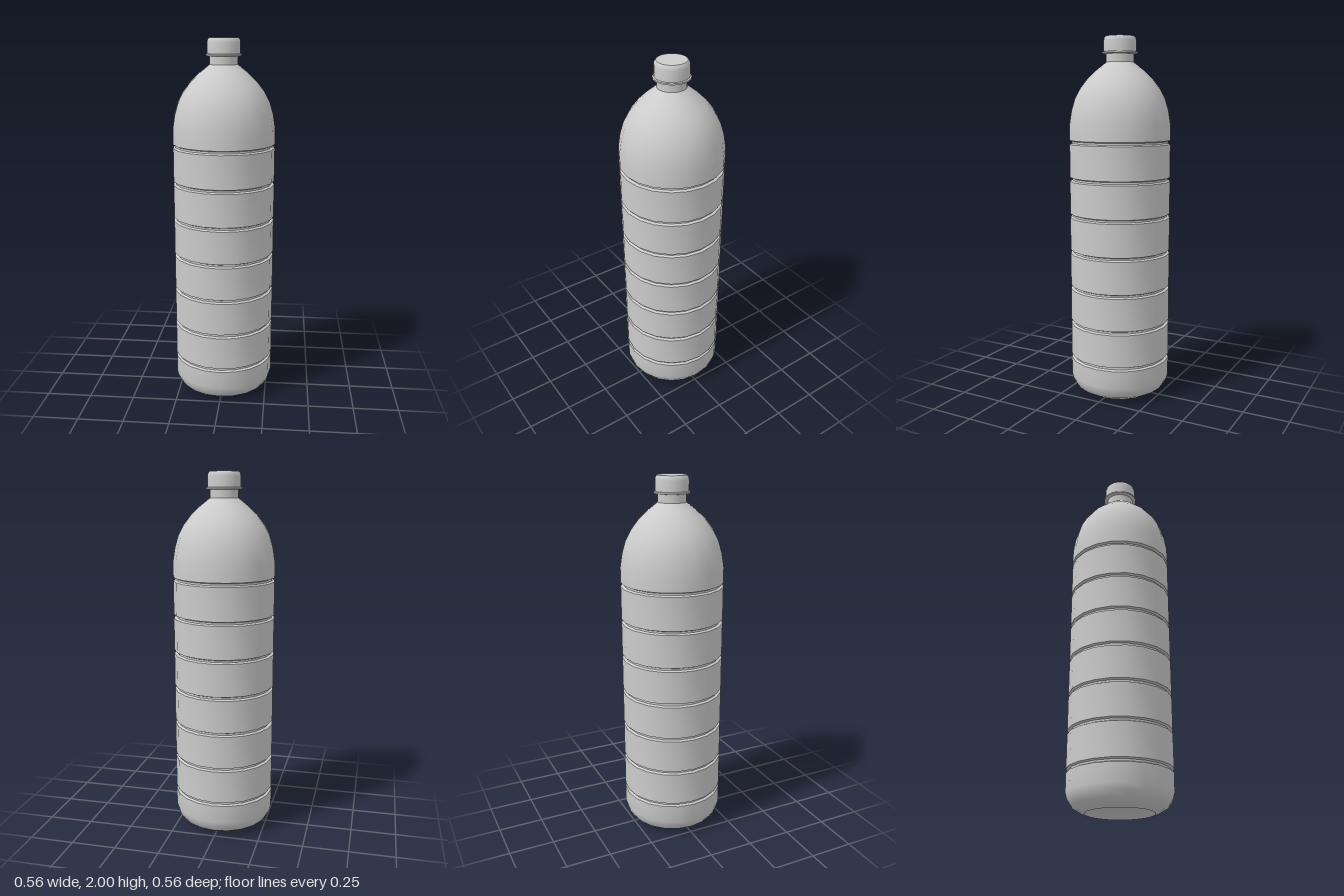
import * as THREE from 'three';
import { toCreasedNormals } from 'three/addons/utils/BufferGeometryUtils.js';

const SIDES = 20;
const RADIUS = 0.28;

// Turns a [radius, height] profile (bottom to top) into a creased solid.
function turned(name, profile, crease = 0.6) {
  const points = profile.map(([r, y]) => new THREE.Vector2(r, y));
  const geometry = toCreasedNormals(new THREE.LatheGeometry(points, SIDES), crease);
  const material = new THREE.MeshStandardMaterial({ color: 0xcccccc, side: THREE.DoubleSide });
  const mesh = new THREE.Mesh(geometry, material);
  mesh.name = name;
  return mesh;
}

export function createModel() {
  const bottle = new THREE.Group();
  bottle.name = 'bottle';

  // Hollow underside, foot ring and rounded lower edge
  const body = [
    [0, 0.06], [0.08, 0.052], [0.14, 0.03], [0.18, 0],
    [0.2, 0.005], [0.25, 0.035], [0.272, 0.068], [RADIUS, 0.1],
  ];

  // Seven evenly spaced grooves
  for (let i = 0; i < 7; i++) {
    const y = 0.21 + i * 0.2033;
    body.push([RADIUS, y - 0.011], [RADIUS - 0.014, y - 0.005],
      [RADIUS - 0.014, y + 0.005], [RADIUS, y + 0.011]);
  }

  // Domed shoulder
  body.push([RADIUS, 1.525], [0.268, 1.6], [0.249, 1.665], [0.22, 1.72],
    [0.18, 1.772], [0.13, 1.82], [0.077, 1.862]);
  bottle.add(turned('body', body));

  bottle.add(turned('neck', [[0.077, 1.858], [0.077, 1.912]]));

  // Thin collar below the cap
  bottle.add(turned('collar', [
    [0.075, 1.905], [0.098, 1.908], [0.098, 1.916], [0.088, 1.919],
  ]));

  // Screw cap with a bevelled top edge
  bottle.add(turned('cap', [
    [0.075, 1.917], [0.09, 1.917], [0.09, 1.975], [0.087, 1.991], [0.079, 2], [0, 2],
  ], 0.75));

  return bottle;
}
